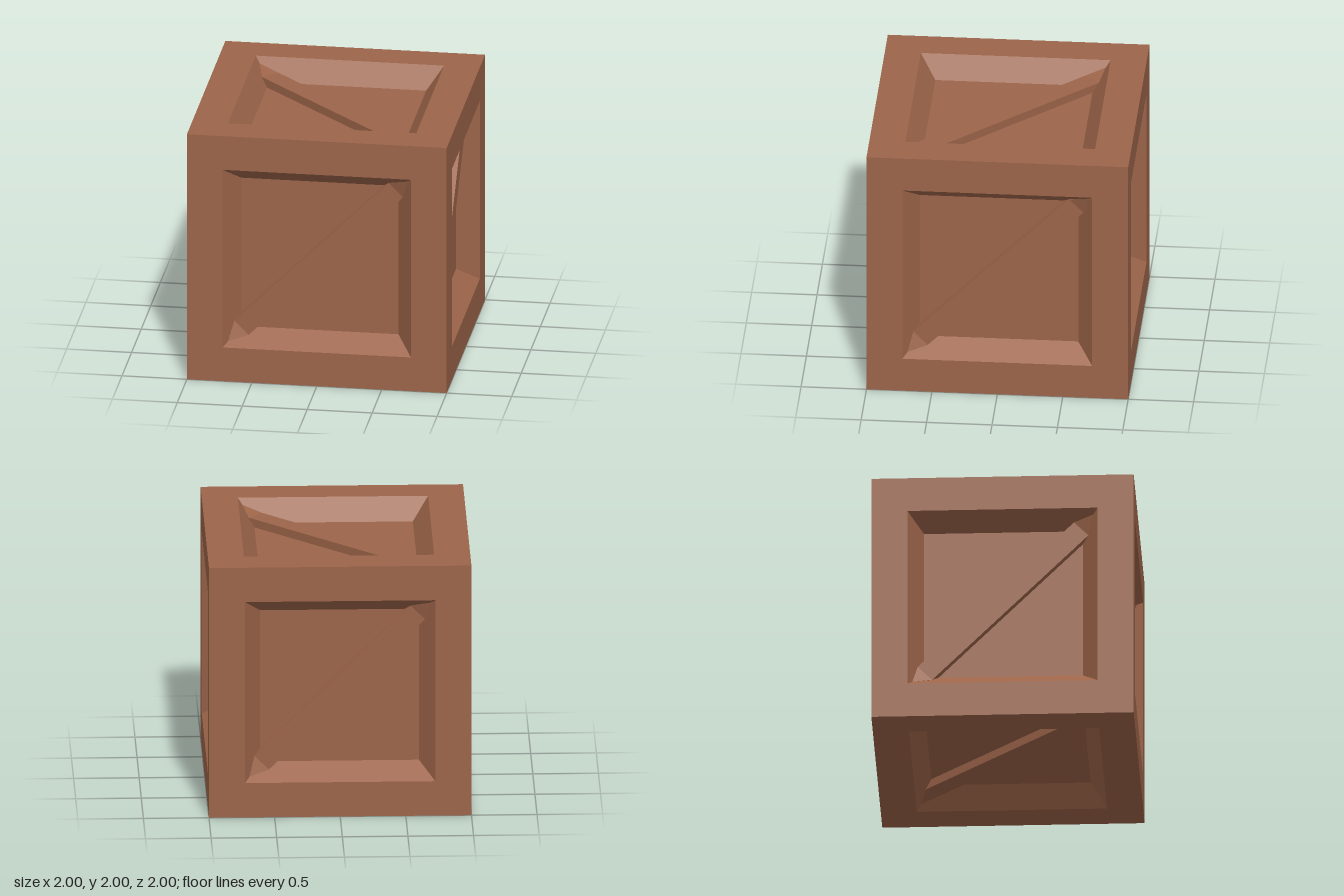
import * as THREE from 'three';
import { ConvexGeometry } from 'three/addons/geometries/ConvexGeometry.js';

const OPEN = 0.725, FLOOR = 0.605;         // half sizes of the opening and the sunken panel
const FLOOR_Z = 0.835, BRACE_Z = 0.9;      // heights above the crate centre

export function createModel() {
  const wood = new THREE.MeshStandardMaterial({ color: 0x9c6449, flatShading: true });
  wood.name = 'brown wood';

  // Square ring (or square, when inner is 0) facing +z, as a four-sided lathe
  const squareRing = (outer, outerZ, inner, innerZ) => {
    const profile = [[outer, outerZ], [inner, innerZ]].map(([r, z]) => new THREE.Vector2(r * Math.SQRT2, z));
    return new THREE.LatheGeometry(profile, 4, Math.PI / 4).rotateX(Math.PI / 2);
  };

  // Pointed brace end: a pyramid climbing into the corner of the opening
  const halfLength = 0.842, halfWidth = 0.078;
  const endPoints = [new THREE.Vector3(0.976, 0, 0.953)];
  for (const y of [-halfWidth, halfWidth])
    for (const z of [0.82, BRACE_Z]) endPoints.push(new THREE.Vector3(halfLength, y, z));

  const depth = BRACE_Z - 0.82;
  const geometries = {
    frame: squareRing(1, 1, OPEN, 1),
    bevel: squareRing(OPEN, 1, FLOOR, FLOOR_Z),
    panel: squareRing(FLOOR, FLOOR_Z, 0, FLOOR_Z),
    brace: new THREE.BoxGeometry(halfLength * 2, halfWidth * 2, depth).translate(0, 0, BRACE_Z - depth / 2),
    braceEnd: new ConvexGeometry(endPoints),
  };

  const addPart = (parent, name, geometry, turn = 0) => {
    const mesh = new THREE.Mesh(geometry, wood);
    mesh.name = name;
    mesh.rotation.z = turn;
    parent.add(mesh);
  };

  // One crate side, facing +z, with a diagonal brace
  const makeSide = (name, rx, ry, rz) => {
    const side = new THREE.Group();
    side.name = name;
    for (const part of ['frame', 'bevel', 'panel']) addPart(side, part, geometries[part]);
    addPart(side, 'brace', geometries.brace, Math.PI / 4);
    addPart(side, 'braceEndUpper', geometries.braceEnd, Math.PI / 4);
    addPart(side, 'braceEndLower', geometries.braceEnd, Math.PI * 5 / 4);
    side.rotation.set(rx, ry, rz);
    side.position.y = 1;
    return side;
  };

  const crate = new THREE.Group();
  crate.name = 'crate';
  const q = Math.PI / 2;
  crate.add(
    makeSide('frontSide', 0, 0, 0),
    makeSide('leftSide', 0, q, 0),
    makeSide('backSide', 0, 2 * q, 0),
    makeSide('rightSide', 0, -q, 0),
    makeSide('topSide', -q, 0, q),
    makeSide('bottomSide', q, 0, q),
  );
  return crate;
}
